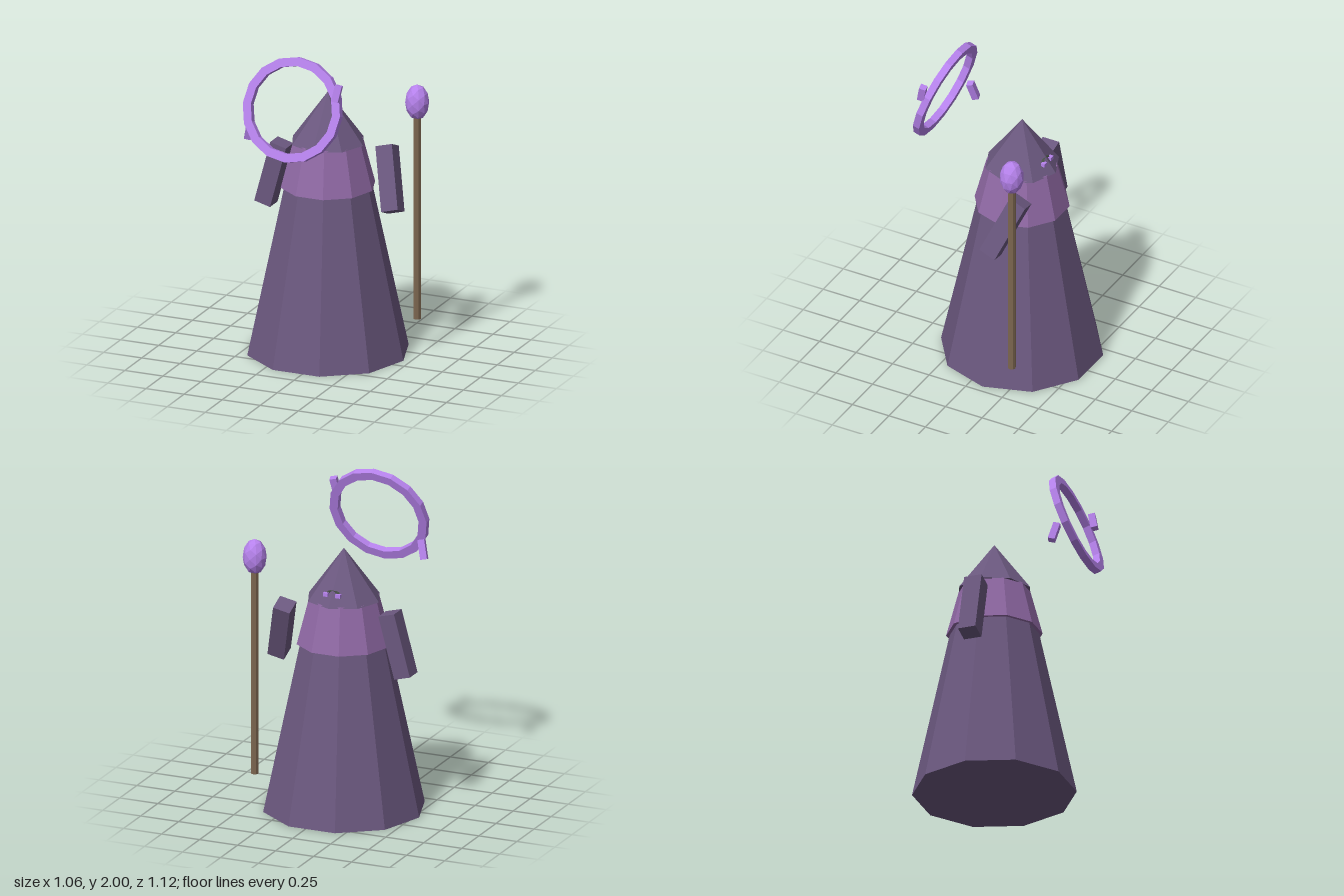
import * as THREE from 'three';

const paint = (color) => new THREE.MeshStandardMaterial({ color, flatShading: true });

export function createModel() {
  const model = new THREE.Group();
  model.name = 'robedFigure';

  const cloth = paint(0x6b587f);
  const mantleCloth = paint(0x9069a5);
  const glow = paint(0xb682ec);
  const wood = paint(0x7d6750);
  const dark = paint(0x465046);

  const add = (name, geometry, material, position, rotation = [0, 0, 0]) => {
    const mesh = new THREE.Mesh(geometry, material);
    mesh.name = name;
    mesh.position.set(...position);
    mesh.rotation.set(...rotation);
    model.add(mesh);
    return mesh;
  };

  // Stacked robe, mantle and pointed hood share one axis
  const X = -0.04, Z = -0.09;
  const tier = (name, rTop, rBottom, y0, y1, sides, material) =>
    add(name, new THREE.CylinderGeometry(rTop, rBottom, y1 - y0, sides), material,
      [X, (y0 + y1) / 2, Z], [0, Math.PI / 2, 0]);
  tier('robe', 0.265, 0.495, 0, 1.07, 10, cloth);
  tier('mantle', 0.215, 0.29, 1.05, 1.335, 10, mantleCloth);
  add('hood', new THREE.ConeGeometry(0.23, 0.315, 8), cloth, [X, 1.485, Z]);

  // Face on the back slope of the hood: two eyes under a dark brow arch
  for (const side of [-1, 1]) {
    add('eye', new THREE.BoxGeometry(0.032, 0.022, 0.025), glow, [X + side * 0.04, 1.395, -0.262]);
  }
  add('brow', new THREE.TorusGeometry(0.042, 0.012, 4, 8, Math.PI), dark, [X, 1.378, -0.262], [0.5, 0, 0]);

  // Sleeves
  const sleeve = new THREE.BoxGeometry(0.107, 0.4, 0.112);
  add('rightArm', sleeve, cloth, [-0.396, 1.08, -0.092], [0, 0, -0.265]);
  add('leftArm', sleeve, cloth, [0.328, 1.11, -0.178], [-0.4, 0, 0.265]);

  // Staff with a faceted orb
  add('staff', new THREE.CylinderGeometry(0.025, 0.025, 1.3, 8), wood, [0.456, 0.855, -0.292]);
  add('staffOrb', new THREE.IcosahedronGeometry(0.073, 1), glow, [0.456, 1.58, -0.292])
    .scale.set(1, 1.53, 1);

  // Floating ring of rectangular section, leaning back
  const inner = 0.266, outer = 0.319, half = 0.022;
  const section = [[inner, -half], [outer, -half], [outer, half], [inner, half], [inner, -half]]
    .map(([r, y]) => new THREE.Vector2(r, y));
  add('ring', new THREE.LatheGeometry(section, 16), glow, [-0.037, 1.692, 0.436], [1.255, 0, 0]);

  // Small shards hovering by the ring
  add('upperShard', new THREE.BoxGeometry(0.042, 0.102, 0.042), glow, [0.252, 1.835, 0.433], [-0.2, 0.2, -0.16]);
  add('lowerShard', new THREE.BoxGeometry(0.042, 0.12, 0.042), glow, [-0.335, 1.516, 0.408], [0.27, 0.2, -0.26]);

  return model;
}
